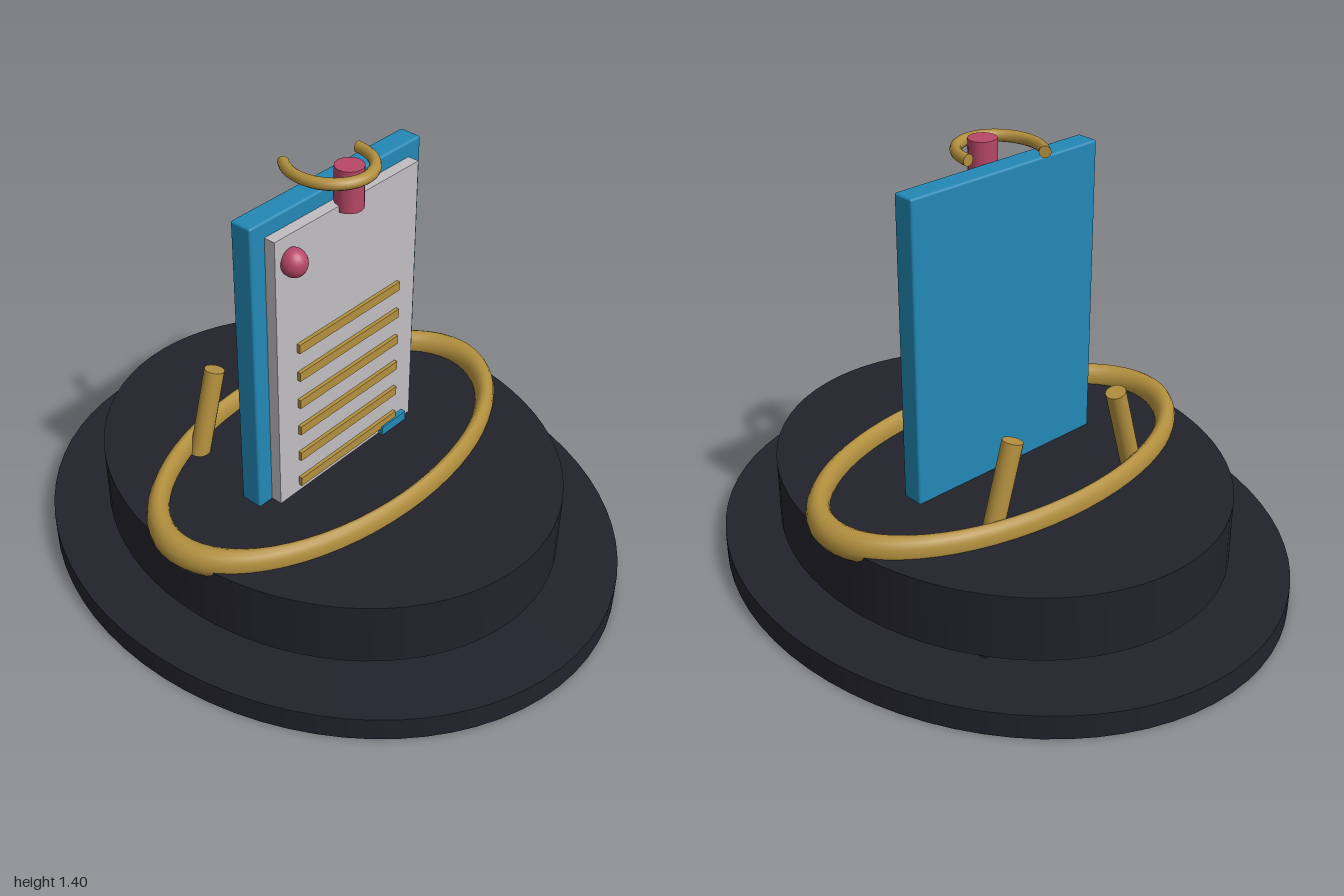
import * as THREE from 'three';
import { RoundedBoxGeometry } from 'three/addons/geometries/RoundedBoxGeometry.js';

export function createModel() {
  const group = new THREE.Group();
  const material = (name, color) => {
    const m = new THREE.MeshStandardMaterial({ color });
    m.name = name;
    return m;
  };
  const dark = material('charcoal', 0x22222c);
  const gold = material('gold', 0xb3903e);
  const blue = material('blue', 0x2288b5);
  const grey = material('light grey', 0xc1bec2);
  const pink = material('rose', 0xb84767);

  const add = (name, geometry, mat, x = 0, y = 0, z = 0) => {
    const mesh = new THREE.Mesh(geometry, mat);
    mesh.name = name;
    mesh.position.set(x, y, z);
    group.add(mesh);
    return mesh;
  };
  const box = (w, h, d) => new THREE.BoxGeometry(w, h, d);

  // Oval base with a thicker oval drum floating just above it
  const oval = (name, rx, rz, y0, y1) =>
    add(name, new THREE.CylinderGeometry(1, 1, y1 - y0, 72).scale(rx, 1, rz), dark, 0, (y0 + y1) / 2, 0);
  oval('base', 0.85, 1, 0, 0.083);
  oval('drum', 0.675, 0.795, 0.12, 0.34);

  // Flattened gold ring lying on the drum
  add('ring', new THREE.TorusGeometry(0.788, 0.05, 14, 64).scale(0.85, 0.476, 1).rotateX(Math.PI / 2),
    gold, 0, 0.35, 0);

  // Upright board and its face plate
  add('board', new RoundedBoxGeometry(0.73, 1.235, 0.076, 2, 0.008), blue, 0, 0.7225, 0.002);
  add('facePlate', box(0.62, 1.14, 0.04), grey, 0, 0.72, 0.058);

  // Lines on the plate
  for (let i = 0; i < 6; i++) {
    add('line' + (i + 1), box(0.453, 0.031, 0.014), gold, 0, 0.89 - i * 0.102, 0.083);
  }
  add('tab', box(0.115, 0.045, 0.02), blue, 0.213, 0.35, 0.086);

  // Round stud in the upper corner
  add('stud', new THREE.SphereGeometry(0.045, 20, 14).scale(0.91, 1, 0.95), pink, -0.25, 1.205, 0.093);

  // Clip at the top: a peg with an open hook
  add('peg', new THREE.CylinderGeometry(0.045, 0.045, 0.135, 16), pink, 0, 1.337, 0.077);
  const arc = Math.PI * 1.25;
  const hook = new THREE.TorusGeometry(0.138, 0.019, 10, 32, arc);
  add('hook', hook.rotateX(Math.PI / 2).scale(0.89, 1, 1), gold, 0, 1.385, 0);
  for (const [name, a, turn] of [['hookStart', 0, -1], ['hookEnd', arc, 1]]) {
    // Small discs close the two ends of the hook
    const cap = add(name, new THREE.CircleGeometry(0.019, 10), gold,
      0.138 * 0.89 * Math.cos(a), 1.385, 0.138 * Math.sin(a));
    cap.lookAt(cap.position.x - turn * Math.sin(a), 1.385, cap.position.z + turn * Math.cos(a));
  }

  // Leaning support rods and rounded feet behind the board
  for (const [side, s] of [['left', 1], ['right', -1]]) {
    const bottom = new THREE.Vector3(s * 0.366, 0.105, -0.293);
    const top = new THREE.Vector3(s * 0.217, 0.622, -0.293);
    const axis = top.clone().sub(bottom);
    const rod = add(side + 'Rod', new THREE.CylinderGeometry(0.033, 0.033, axis.length(), 16), gold);
    rod.position.copy(bottom).add(top).multiplyScalar(0.5);
    rod.quaternion.setFromUnitVectors(new THREE.Vector3(0, 1, 0), axis.normalize());
    add(side + 'Foot', new RoundedBoxGeometry(0.25, 0.06, 0.155, 3, 0.018), dark, s * 0.375, 0.098, -0.406);
  }

  return group;
}
